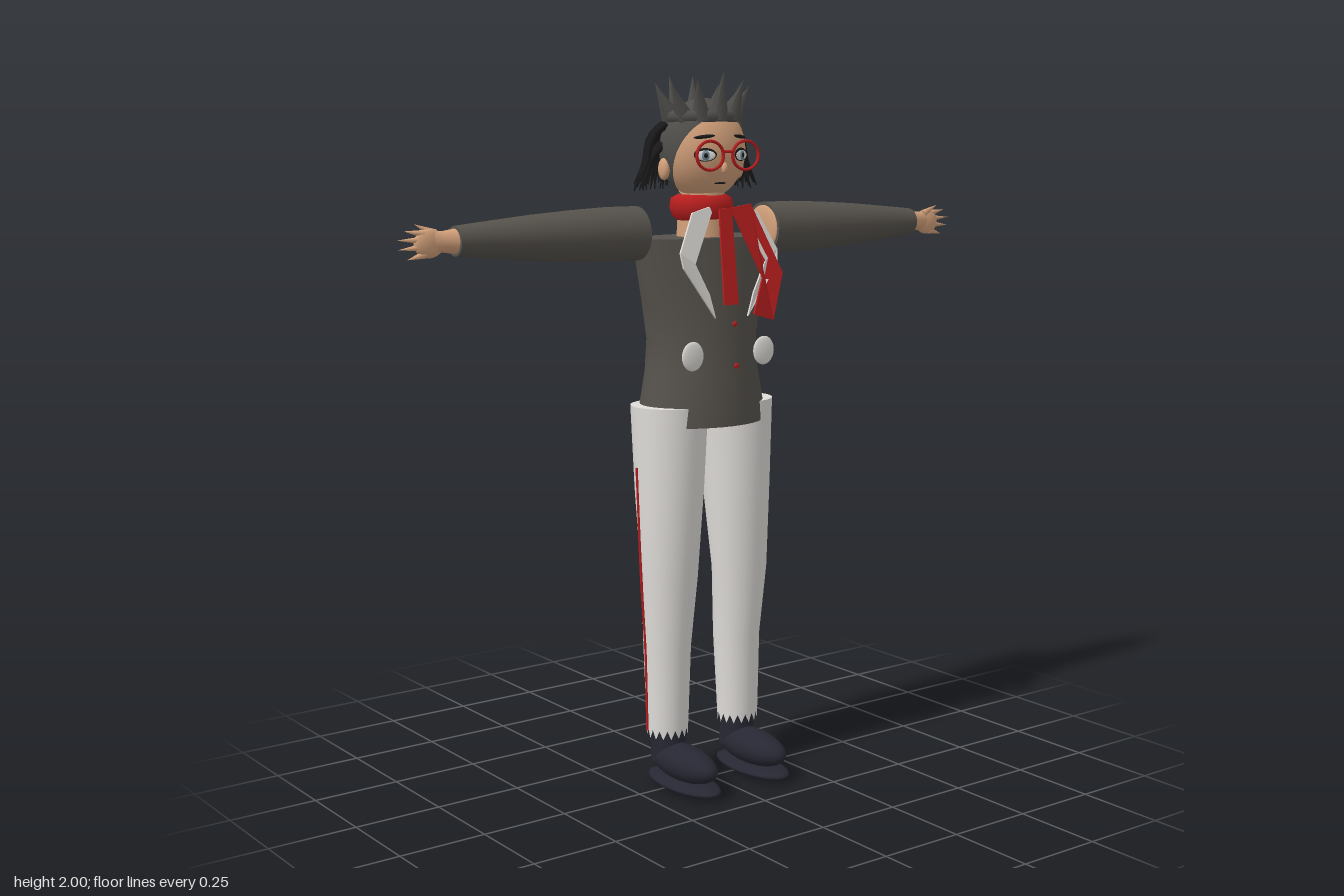
import * as THREE from 'three';

const mat = (name, color, side = THREE.FrontSide) => {
  const m = new THREE.MeshStandardMaterial({ color, side });
  m.name = name;
  return m;
};
const M = {
  jacket: mat('jacket grey', 0x56524c),
  hair: mat('hair grey', 0x4e4d4a),
  black: mat('black', 0x191919),
  white: mat('white cloth', 0xdfdcd8, THREE.DoubleSide),
  skin: mat('skin', 0xd2a07a),
  red: mat('red', 0xb81e1e, THREE.DoubleSide),
  shoe: mat('shoe navy', 0x272733),
  patch: mat('orange patch', 0xdca468, THREE.DoubleSide),
  iris: mat('iris', 0x6f8a99),
};
const ZC = -0.045; // body axis
const V = (x, y, z) => new THREE.Vector3(x, y, z);

export function createModel() {
  const root = new THREE.Group();
  root.name = 'figure';

  function add(name, geo, material, x = 0, y = 0, z = 0, parent = root) {
    const m = new THREE.Mesh(geo, material);
    m.name = name;
    m.position.set(x, y, z);
    parent.add(m);
    return m;
  }
  const ball = (rx, ry, rz) => new THREE.SphereGeometry(1, 32, 20).scale(rx, ry, rz);

  // Elliptical loft up y from rings [y, cx, rx, cz, rz]; jag raises every other foot vertex
  function loft(rings, { n = 32, capBottom = true, capTop = true, jag = 0 } = {}) {
    const pos = [], idx = [];
    const ring = ([y, cx, rx, cz, rz], lift = 0) => {
      const start = pos.length / 3;
      for (let i = 0; i < n; i++) {
        const a = (i / n) * Math.PI * 2;
        pos.push(cx + rx * Math.sin(a), y + (i % 2) * lift, cz + rz * Math.cos(a));
      }
      return start;
    };
    const starts = rings.map((r, k) => ring(r, k === 0 ? jag : 0));
    for (let k = 0; k + 1 < rings.length; k++)
      for (let i = 0; i < n; i++) {
        const j = (i + 1) % n, a = starts[k], b = starts[k + 1];
        idx.push(a + i, a + j, b + j, a + i, b + j, b + i);
      }
    const cap = (r, up) => {
      const s = ring(r), c = pos.length / 3;
      pos.push(r[1], r[0], r[3]);
      for (let i = 0; i < n; i++) {
        const j = (i + 1) % n;
        up ? idx.push(c, s + i, s + j) : idx.push(c, s + j, s + i);
      }
    };
    if (capBottom) cap(rings[0], false);
    if (capTop) cap(rings[rings.length - 1], true);
    const g = new THREE.BufferGeometry();
    g.setAttribute('position', new THREE.Float32BufferAttribute(pos, 3));
    g.setIndex(idx);
    g.computeVertexNormals();
    return g;
  }

  // Tube narrowing to a point along a curve
  function strand(points, radius) {
    const curve = new THREE.CatmullRomCurve3(points), segs = 10, rad = 6;
    const g = new THREE.TubeGeometry(curve, segs, radius, rad, false);
    const p = g.attributes.position, v = V();
    for (let i = 0; i < p.count; i++) {
      const t = Math.floor(i / (rad + 1)) / segs, c = curve.getPointAt(t);
      v.fromBufferAttribute(p, i).sub(c).multiplyScalar(1 - 0.85 * t).add(c);
      p.setXYZ(i, v.x, v.y, v.z);
    }
    return g;
  }

  // Cone from a base point to a tip
  function spike(name, from, to, r, material, parent, sides = 8) {
    const d = to.clone().sub(from), len = d.length();
    const m = add(name, new THREE.ConeGeometry(r, len, sides).translate(0, len / 2, 0), material, from.x, from.y, from.z, parent);
    m.quaternion.setFromUnitVectors(V(0, 1, 0), d.normalize());
  }

  // Flat cloth piece leaning forward down the chest
  function cloth(name, pts, material, lift) {
    const shape = new THREE.Shape(pts.map(([x, y]) => new THREE.Vector2(x, y)));
    const g = new THREE.ExtrudeGeometry(shape, { depth: 0.006, bevelEnabled: false });
    const p = g.attributes.position;
    for (let i = 0; i < p.count; i++)
      p.setZ(i, p.getZ(i) + lift + Math.min(0.09, 0.055 + (1.635 - p.getY(i)) * 0.2));
    g.computeVertexNormals();
    add(name, g, material);
  }

  // Jacket, buttons, pockets, lapels
  add('jacket', loft([
    [1.035, 0, 0.188, ZC, 0.145], [1.09, 0, 0.187, ZC, 0.143], [1.18, 0, 0.17, ZC, 0.135],
    [1.27, 0, 0.165, ZC, 0.128], [1.38, 0, 0.186, ZC, 0.121], [1.47, 0, 0.205, ZC, 0.114],
    [1.55, 0, 0.22, ZC, 0.107],
  ], { n: 40 }), M.jacket);
  [1.415, 1.315, 1.2].forEach((y, i) =>
    add('button', ball(0.008, 0.008, 0.004), M.red, 0.02, y, 0.074 + i * 0.008));
  for (const s of [-1, 1]) {
    add('pocket', ball(0.036, 0.04, 0.008), M.white, s * 0.122, 1.235, 0.08);
    cloth('lapel', [[-0.05, 1.635], [-0.11, 1.62], [-0.165, 1.515], [-0.16, 1.475], [-0.055, 1.335],
      [-0.075, 1.4], [-0.12, 1.485], [-0.045, 1.62]].map(([x, y]) => [s * x, y]), M.white, 0);
  }

  // Scarf
  add('neck', new THREE.CylinderGeometry(0.062, 0.07, 0.16, 28), M.skin, 0, 1.61, ZC);
  add('scarf', loft([
    [1.595, 0, 0.07, ZC, 0.062], [1.605, 0, 0.083, ZC, 0.076], [1.63, 0, 0.092, ZC, 0.082],
    [1.655, 0, 0.088, ZC, 0.077], [1.665, 0, 0.07, ZC, 0.06],
  ]), M.red);
  cloth('scarfTail', [[-0.02, 1.63], [0.022, 1.63], [0.02, 1.37], [-0.028, 1.37]], M.red, 0.003);
  cloth('scarfTail', [[0.015, 1.63], [0.085, 1.64], [0.17, 1.45], [0.138, 1.32], [0.07, 1.34], [0.1, 1.44]], M.red, 0.008);

  // Arms and hands, built along +x and turned round for the other side
  for (const s of [1, -1]) {
    const arm = new THREE.Group();
    arm.name = s > 0 ? 'leftArm' : 'rightArm';
    arm.position.set(0, 1.565, ZC);
    if (s < 0) arm.rotation.y = Math.PI;
    root.add(arm);
    const sleeve = [[0.218, 0.073], [0.32, 0.073], [0.43, 0.068], [0.55, 0.06], [0.67, 0.049], [0.775, 0.039]]
      .map(([x, r]) => [x, 0, r, 0, r]);
    add('sleeve', loft(sleeve).rotateZ(-Math.PI / 2), M.jacket, 0, 0, 0, arm);
    add('shoulder', ball(0.01, 0.064, 0.064), M.skin, 0.218, 0, 0, arm);
    add('wrist', loft([[0.77, 0, 0.033, 0, 0.031], [0.81, 0, 0.027, 0, 0.02], [0.84, 0, 0.03, 0, 0.015]])
      .rotateZ(-Math.PI / 2), M.skin, 0, 0, 0, arm);
    add('palm', ball(0.042, 0.037, 0.016), M.skin, 0.848, -0.003, 0, arm);
    [[0.918, 0.03], [0.938, 0.008], [0.935, -0.016], [0.91, -0.042]].forEach(([x, y]) =>
      spike('finger', V(0.86, y * 0.7, 0), V(x, y, 0), 0.011, M.skin, arm));
    spike('thumb', V(0.83, 0.02, 0.004), V(0.885, 0.046, 0.006), 0.013, M.skin, arm);
  }

  // Legs, stripes, patches and shoes
  const legRings = [[0.14, 0.125, 0.06, -0.04, 0.055], [0.18, 0.125, 0.061, -0.04, 0.056],
    [0.4, 0.123, 0.068, -0.043, 0.066], [0.6, 0.123, 0.082, -0.03, 0.073],
    [0.85, 0.117, 0.098, -0.038, 0.094], [1.09, 0.113, 0.11, -0.042, 0.105]];
  for (const s of [1, -1]) {
    const side = s > 0 ? 'left' : 'right', cx = s * 0.122;
    add(side + 'Leg', loft(legRings.map(([y, x, rx, z, rz]) => [y, s * x, rx, z, rz]),
      { capBottom: false, jag: 0.025 }), M.white);
    const line = new THREE.CatmullRomCurve3([[0.16, 0.186], [0.4, 0.191], [0.6, 0.204], [0.85, 0.214], [0.92, 0.217]]
      .map(([y, x]) => V(s * x, y, -0.052)));
    add(side + 'Stripe', new THREE.TubeGeometry(line, 24, 0.004, 6), M.red);

    // ragged patch wrapped on the back of the calf
    const patch = new THREE.RingGeometry(0.001, 0.045, 24, 4), p = patch.attributes.position;
    for (let i = 0; i < p.count; i++) {
      const a = Math.atan2(p.getY(i), p.getX(i));
      const k = 0.75 + 0.25 * Math.sin(5 * a + 1) + 0.15 * Math.cos(8 * a);
      const x = p.getX(i) * k;
      p.setXYZ(i, s * 0.123 + x, 0.37 + p.getY(i) * k, -0.043 - 0.069 * Math.sqrt(1 - (x / 0.07) ** 2));
    }
    patch.computeVertexNormals();
    add('calfPatch', patch, M.patch);

    add('sock', new THREE.CylinderGeometry(0.05, 0.05, 0.1, 24), M.shoe, cx, 0.12, -0.04);
    add(side + 'Shoe', ball(0.058, 0.05, 0.14), M.shoe, cx, 0.077, 0.035);
    add('sole', ball(0.068, 0.02, 0.147), M.shoe, cx, 0.02, 0.037);
  }

  // Head
  const HY = 1.785, HZ = -0.035;
  add('head', ball(0.123, 0.135, 0.101), M.skin, 0, HY, HZ);
  add('hairCap', new THREE.SphereGeometry(1, 36, 24, 0, Math.PI * 2, 0, 1.92)
    .rotateX(-1.05).scale(0.129, 0.141, 0.106), M.hair, 0, HY, HZ);
  add('crownBand', new THREE.TorusGeometry(0.1, 0.014, 10, 32).rotateX(Math.PI / 2).scale(1.02, 1.2, 0.82),
    M.hair, 0, 1.875, -0.04);
  for (let i = 0; i < 11; i++) {
    const a = (i / 11) * Math.PI * 2 + Math.PI / 2, c = Math.cos(a), q = Math.sin(a);
    spike('crownSpike', V(0.09 * c, 1.87, -0.042 + 0.075 * q),
      V(0.145 * c, 2 - 0.045 * Math.abs(c), -0.042 + 0.102 * q), 0.027, M.hair, root, 6);
  }

  // Loose strands round the sides and back, in two layers
  const N = 30;
  for (let layer = 0; layer < 2; layer++)
    for (let i = 0; i <= N; i++) {
      const a = (i / N) * Math.PI, c = Math.cos(a), q = Math.sin(a);
      const drop = layer * 0.05, wob = 0.01 * Math.sin(i * 2.4);
      add('hairStrand', strand([
        V(0.112 * c, 1.855 - drop, -0.055 - 0.07 * q),
        V(0.15 * c, 1.82 - drop, -0.06 - 0.088 * q),
        V(0.172 * c, 1.75 - drop * 0.6, -0.06 - 0.095 * q),
        V((0.205 - layer * 0.03) * c, 1.685 + wob, -0.06 - 0.097 * q),
      ], 0.011), M.black);
    }

  // Face
  for (const s of [-1, 1]) {
    const x = s * 0.06;
    add('ear', ball(0.014, 0.03, 0.02), M.skin, s * 0.126, 1.735, -0.045);
    const eye = new THREE.Group();
    eye.name = 'eye';
    eye.position.set(x, 1.772, 0.054);
    eye.rotation.y = s * 0.4;
    root.add(eye);
    add('eyeOutline', ball(0.032, 0.018, 0.004), M.black, 0, 0.002, 0, eye);
    add('eyeWhite', ball(0.028, 0.014, 0.004), M.white, 0, 0, 0.002, eye);
    add('iris', ball(0.012, 0.013, 0.004), M.iris, 0, 0, 0.004, eye);
    add('pupil', ball(0.006, 0.007, 0.004), M.black, 0, 0, 0.006, eye);
    const brow = add('eyebrow', ball(0.03, 0.005, 0.005), M.black, x, 1.822, 0.05);
    brow.rotation.set(0, s * 0.4, -s * 0.1);
    add('glassesRim', new THREE.TorusGeometry(0.042, 0.0045, 8, 32).scale(1.06, 0.92, 1), M.red, s * 0.06, 1.772, 0.076);
  }
  add('glassesBridge', new THREE.CylinderGeometry(0.004, 0.004, 0.035, 8).rotateZ(Math.PI / 2), M.red, 0, 1.782, 0.076);
  add('nose', ball(0.009, 0.016, 0.01), M.skin, 0, 1.738, 0.06);
  add('mouth', ball(0.02, 0.003, 0.005), M.black, 0, 1.697, 0.04);

  return root;
}
